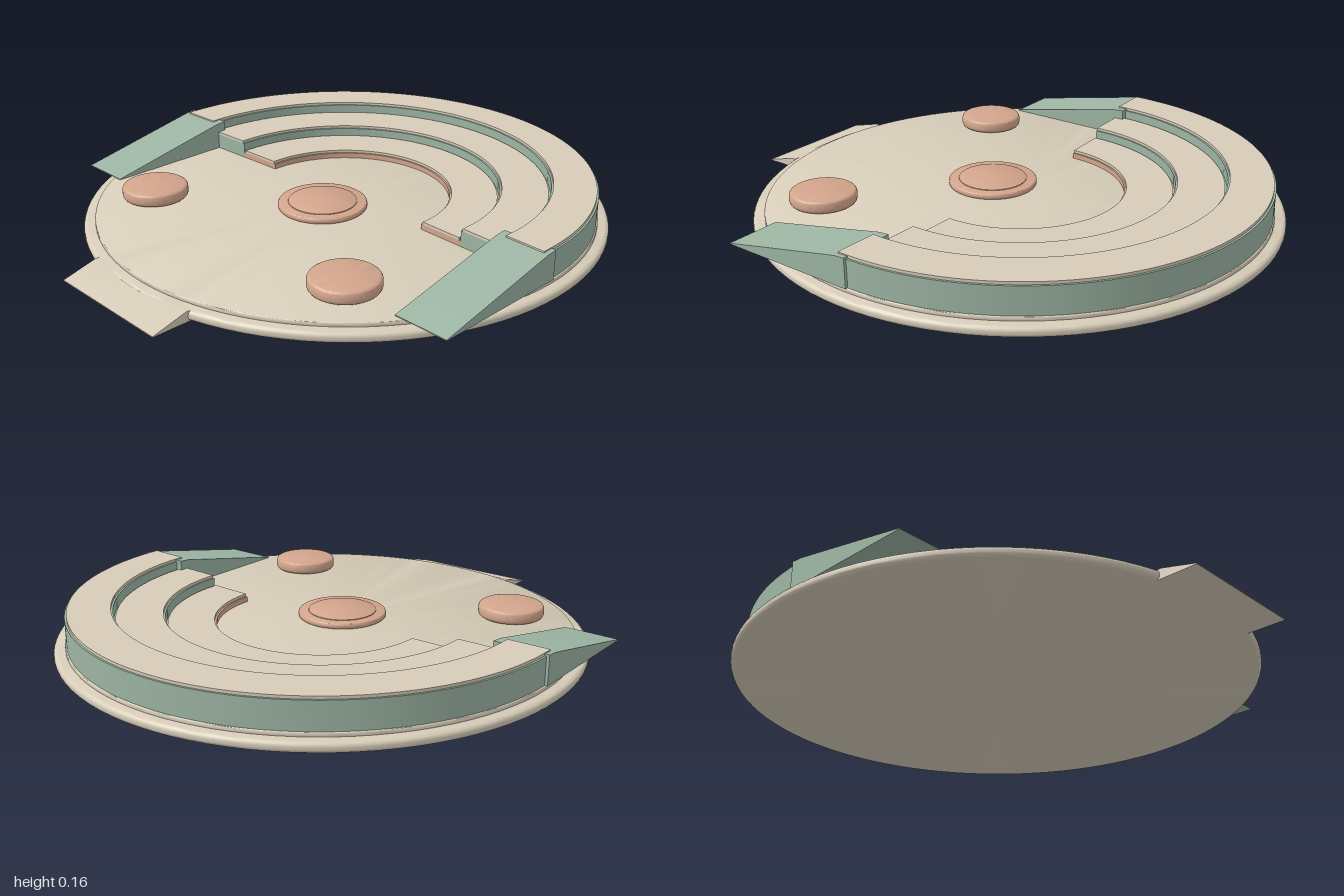
import * as THREE from 'three';
import { toCreasedNormals } from 'three/addons/utils/BufferGeometryUtils.js';

const CENTER_Z = -0.05; // centre of the round base

function material(name, color) {
  const m = new THREE.MeshStandardMaterial({ color });
  m.name = name;
  return m;
}

export function createModel() {
  const model = new THREE.Group();
  model.name = 'tieredPlatform';
  const stone = material('sandstone', 0xd6ccb8);
  const green = material('sageGreen', 0x9db5a4);
  const clay = material('terracotta', 0xd3a58c);

  function add(name, geometry, mat, x = 0, y = 0, z = 0) {
    const mesh = new THREE.Mesh(toCreasedNormals(geometry, 0.6), mat);
    mesh.name = name;
    mesh.position.set(x, y, z);
    model.add(mesh);
    return mesh;
  }

  // Round slab with softened edges, standing on y = 0
  function disc(radius, height, bevel) {
    const points = [new THREE.Vector2(0, 0)];
    for (const [cy, from] of [[bevel, -Math.PI / 2], [height - bevel, 0]]) {
      for (let i = 0; i <= 4; i++) {
        const a = from + (i / 4) * Math.PI / 2;
        points.push(new THREE.Vector2(radius - bevel + bevel * Math.cos(a), cy + bevel * Math.sin(a)));
      }
    }
    points.push(new THREE.Vector2(0, height));
    return new THREE.LatheGeometry(points, 96);
  }

  // Half ring opening to the front, slightly longer than a half circle
  function halfRing(inner, outer, height) {
    const extra = 0.033;
    const shape = new THREE.Shape();
    shape.absarc(0, 0, outer, -extra, Math.PI + extra, false);
    shape.absarc(0, 0, inner, Math.PI + extra, -extra, true);
    return new THREE.ExtrudeGeometry(shape, { depth: height, bevelEnabled: false, curveSegments: 72 })
      .rotateX(-Math.PI / 2);
  }

  // Wedge: side profile of [z, y] points, spread along x
  function wedge(profile, width) {
    const shape = new THREE.Shape(profile.map(([z, y]) => new THREE.Vector2(-z, y)));
    return new THREE.ExtrudeGeometry(shape, { depth: width, bevelEnabled: false })
      .translate(0, 0, -width / 2).rotateY(Math.PI / 2);
  }

  // Base with rounded rim, and the floor plate on it
  add('base', disc(0.95, 0.036, 0.016), stone, 0, 0, CENTER_Z);
  add('floorPlate', disc(0.91, 0.02, 0.004), stone, 0, 0.03, CENTER_Z);

  // Three curved tiers, each a riser with a thin tread on top
  const tiers = [
    ['outer', 0.74, 0.905, 0.158, green],
    ['middle', 0.56, 0.74, 0.118, green],
    ['inner', 0.38, 0.56, 0.08, clay],
  ];
  for (const [name, inner, outer, top, mat] of tiers) {
    add(name + 'TierRiser', halfRing(inner, outer, top - 0.058), mat, 0, 0.048, CENTER_Z);
    add(name + 'TierTread', halfRing(inner + 0.007, outer - 0.007, 0.01), stone, 0, top - 0.01, CENTER_Z);
  }

  // Side ramps leading up to the outer tier, and round seats
  for (const [side, s] of [['left', 1], ['right', -1]]) {
    const ramp = [[-0.06, 0.05], [0.46, 0.05], [0.46, 0.053], [-0.02, 0.152], [-0.06, 0.155]];
    add(side + 'Ramp', wedge(ramp, 0.2), green, s * 0.815);
    add(side + 'Seat', disc(0.12, 0.046, 0.014), clay, s * 0.495, 0.054, 0.45);
  }

  // Central stage
  add('stage', disc(0.162, 0.022, 0.008), clay, 0, 0.05, 0.07);
  add('stageTop', disc(0.125, 0.006, 0.002), clay, 0, 0.069, 0.07);

  // Entrance ramp at the front
  add('entranceRamp', wedge([[0.86, 0], [1, 0], [1, 0.003], [0.875, 0.036], [0.86, 0.036]], 0.49), stone);

  return model;
}
